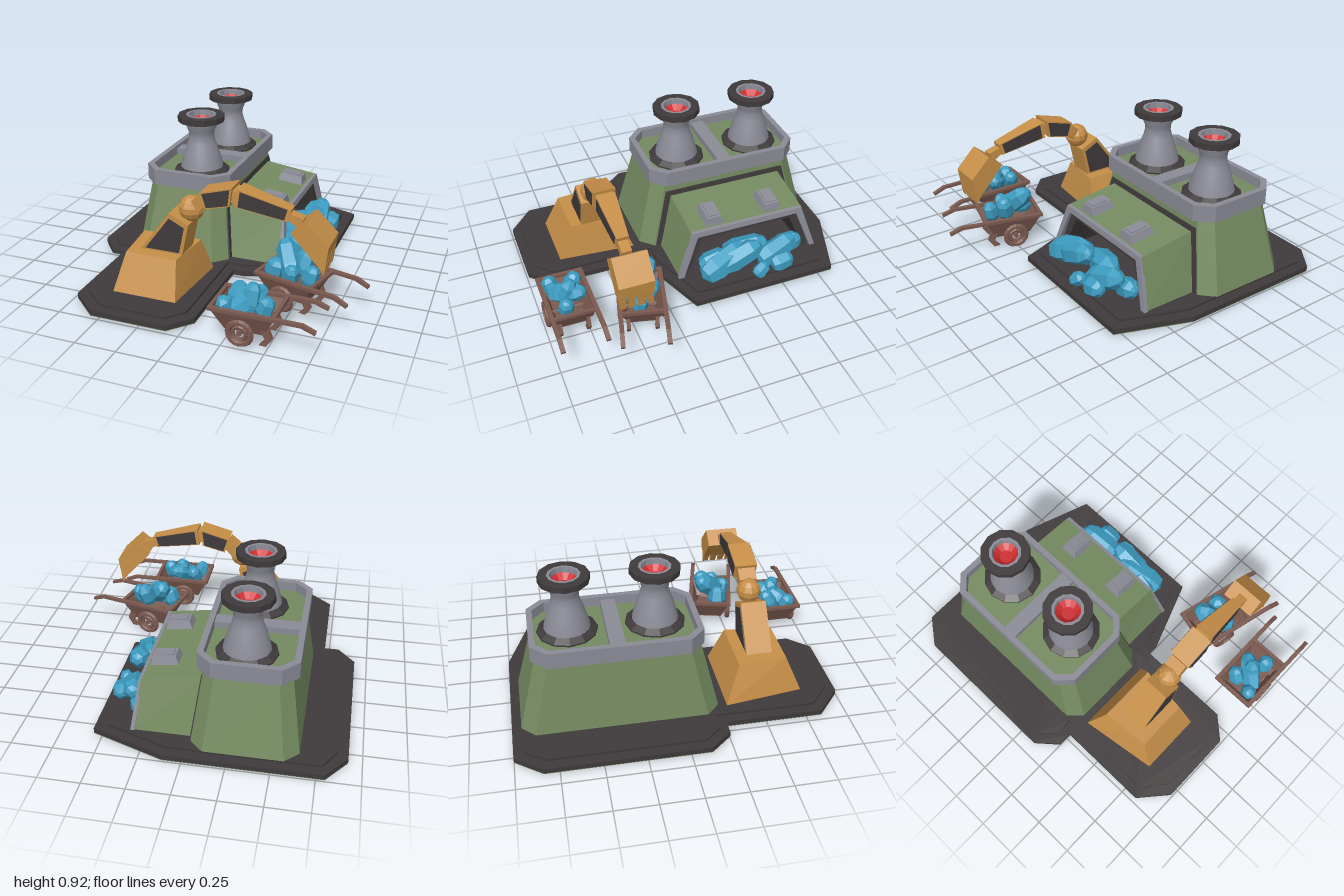
import * as THREE from 'three';
import { ConvexGeometry } from 'three/addons/geometries/ConvexGeometry.js';

const mat = (color, flatShading = true) =>
  new THREE.MeshStandardMaterial({ color, flatShading, side: THREE.DoubleSide });
const GREEN = mat(0x748a60), DARK = mat(0x3f3a3b), GREY = mat(0x8b8b97), ORANGE = mat(0xc68f48),
  BLUE = mat(0x3d9dc2), BROWN = mat(0x7b5a50), RED = mat(0xcc2c2f), SMOOTH_GREY = mat(0x8b8b97, false);

const V = (x, y, z) => new THREE.Vector3(x, y, z);
const shapeOf = pts => new THREE.Shape(pts.map(p => new THREE.Vector2(...p)));
const MID = -0.355; // centre line of the building in z

function add(parent, name, geometry, material, x = 0, y = 0, z = 0) {
  const mesh = new THREE.Mesh(geometry, material);
  mesh.name = name;
  mesh.position.set(x, y, z);
  parent.add(mesh);
  return mesh;
}

// Rectangle with cut corners, as [x, z] points
const octagon = (x0, x1, z0, z1, c) => [[x0 + c, z0], [x1 - c, z0], [x1, z0 + c], [x1, z1 - c],
  [x1 - c, z1], [x0 + c, z1], [x0, z1 - c], [x0, z0 + c]];

// Plan outline raised from y0 to y1
function slab(pts, y0, y1, hole) {
  const s = shapeOf(pts);
  if (hole) s.holes.push(new THREE.Path(hole.map(p => new THREE.Vector2(...p))));
  return new THREE.ExtrudeGeometry(s, { depth: y1 - y0, bevelEnabled: false }).rotateX(Math.PI / 2).translate(0, y1, 0);
}

// Convex solid between two plan outlines
const taper = (low, y0, high, y1) => new ConvexGeometry(
  [...low.map(([x, z]) => V(x, y0, z)), ...high.map(([x, z]) => V(x, y1, z))]);

// Side outline extruded across z
const profile = (pts, zc, width) => new THREE.ExtrudeGeometry(shapeOf(pts), { depth: width, bevelEnabled: false })
  .translate(0, 0, zc - width / 2);

// Side outline shrunk towards its centre
function inset(pts, k) {
  const cx = pts.reduce((s, p) => s + p[0], 0) / pts.length, cy = pts.reduce((s, p) => s + p[1], 0) / pts.length;
  return pts.map(([x, y]) => [cx + (x - cx) * k, cy + (y - cy) * k]);
}

// Trapezoid arch running along x; the roof falls and the mouth leans outward
function arch(top, bottom, h, t, x0, x1) {
  const s = shapeOf([[-bottom, 0.06], [-top, h], [top, h], [bottom, 0.06],
    [bottom - t, 0.06], [top - t, h - t], [t - top, h - t], [t - bottom, 0.06]]);
  const g = new THREE.ExtrudeGeometry(s, { depth: x1 - x0, bevelEnabled: false })
    .rotateY(Math.PI / 2).translate(x0, 0, MID);
  const p = g.attributes.position;
  for (let i = 0; i < p.count; i++) {
    const x = p.getX(i), y = p.getY(i), f = (x + 0.09) / 0.37;
    p.setXYZ(i, x + (0.36 - y) * 0.13 * f, y + (y - 0.06) * 0.17 * (1 - f), p.getZ(i));
  }
  g.computeVertexNormals();
  return g;
}

// Six-sided crystal lying between two points
function crystal(parent, a, b, r) {
  const from = V(...a), dir = V(...b).sub(from), l = dir.length();
  const g = new THREE.LatheGeometry([[0, 0], [r * 0.75, l * 0.08], [r, l * 0.3], [r * 0.9, l * 0.78],
    [r * 0.5, l * 0.95], [0, l]].map(p => new THREE.Vector2(...p)), 6);
  const m = add(parent, 'crystal', g, BLUE, ...a);
  m.quaternion.setFromUnitVectors(V(0, 1, 0), dir.normalize());
}

function makeBase(root) {
  const outer = [[-0.8, -1], [0.11, -1], [0.55, -0.84], [0.55, 0.09], [0.11, 0.25], [0.04, 0.25], [0.04, 0.86],
    [-0.08, 0.99], [-0.55, 0.99], [-0.72, 0.84], [-0.72, 0.25], [-0.81, 0.25], [-0.92, 0.12], [-0.92, -0.84]];
  const inner = [[-0.78, -0.94], [0.1, -0.94], [0.48, -0.8], [0.48, 0.05], [0.1, 0.19], [-0.02, 0.19], [-0.02, 0.83],
    [-0.11, 0.93], [-0.52, 0.93], [-0.66, 0.81], [-0.66, 0.19], [-0.78, 0.19], [-0.86, 0.1], [-0.86, -0.81]];
  add(root, 'baseUnderside', slab(outer, 0.01, 0.014), GREEN);
  add(root, 'baseSlab', slab(outer, 0.014, 0.045), DARK);
  add(root, 'baseStep', slab(inner, 0.045, 0.06), DARK);
}

function makeChimney(root, z) {
  const g = new THREE.Group();
  g.name = 'chimney';
  g.position.set(-0.31, 0, z);
  root.add(g);
  const lathe = (name, pts, m, n) => add(g, name, new THREE.LatheGeometry(pts.map(p => new THREE.Vector2(...p)), n), m);
  lathe('footRing', [[0.18, 0.53], [0.18, 0.55], [0.14, 0.575], [0.13, 0.53]], DARK, 12);
  lathe('stack', [[0.142, 0.55], [0.132, 0.6], [0.11, 0.68], [0.09, 0.735], [0.08, 0.775], [0.083, 0.81],
    [0.1, 0.85], [0.103, 0.885]], SMOOTH_GREY, 24);
  lathe('capRing', [[0.1, 0.878], [0.15, 0.878], [0.15, 0.915], [0.095, 0.915]], DARK, 12);
  lathe('throat', [[0.097, 0.917], [0.08, 0.917], [0.076, 0.88]], GREY, 12);
  lathe('glow', [[0.076, 0.885], [0.04, 0.855], [0, 0.855]], RED, 12);
}

function makeBuilding(root) {
  const g = new THREE.Group();
  g.name = 'furnaceBuilding';
  root.add(g);
  add(g, 'body', taper(octagon(-0.65, -0.03, -0.945, 0.235, 0.08), 0.06, octagon(-0.585, -0.09, -0.83, 0.125, 0.07), 0.51), GREEN);
  add(g, 'topRim', slab(octagon(-0.62, -0.05, -0.855, 0.145, 0.09), 0.5, 0.6, octagon(-0.585, -0.085, -0.82, 0.11, 0.075)), GREY);
  add(g, 'topFloor', slab(octagon(-0.6, -0.07, -0.83, 0.12, 0.08), 0.51, 0.54), GREEN);
  add(g, 'crossBar', new THREE.BoxGeometry(0.5, 0.04, 0.09), GREY, -0.335, 0.56, -0.36);
  for (const z of [-0.625, -0.105]) makeChimney(g, z);

  // Dark wall panel around the furnace wing
  const panel = [];
  for (const [y, hw] of [[0.062, 0.5], [0.44, 0.41]])
    for (const s of [-1, 1]) for (const d of [-0.02, 0.008])
      panel.push(V(-0.03 - 0.06 * (y - 0.06) / 0.44 + d, y, MID + s * hw));
  add(g, 'wallPanel', new ConvexGeometry(panel), DARK);
  // Inner back wall of the furnace
  add(g, 'hearthWall', taper([[-0.06, -0.7], [0, -0.7], [0, -0.01], [-0.06, -0.01]], 0.06,
    [[-0.06, -0.62], [-0.03, -0.62], [-0.03, -0.09], [-0.06, -0.09]], 0.3), GREEN);

  add(g, 'wingShell', arch(0.38, 0.47, 0.36, 0.03, -0.09, 0.28), GREEN);
  add(g, 'mouthFrame', arch(0.375, 0.478, 0.363, 0.035, 0.27, 0.292), GREY);
  add(g, 'mouthLining', arch(0.348, 0.443, 0.333, 0.045, -0.03, 0.265), DARK);
  for (const z of [-0.54, -0.145]) {
    const r = (a, b) => [[-a, -b], [a, -b], [a, b], [-a, b]];
    const vent = add(g, 'roofVent', taper(r(0.083, 0.06), 0, r(0.07, 0.045), 0.05), GREY, 0.172, 0.375, z);
    vent.rotation.z = -0.135;
    add(vent, 'ventPlate', new THREE.BoxGeometry(0.11, 0.008, 0.065), GREY, 0, 0.052, 0);
  }
  const ore = [[[0.42, 0.1, 0], [0.34, 0.22, -0.32], 0.085], [[0.4, 0.13, -0.12], [0.4, 0.25, -0.4], 0.075],
    [[0.33, 0.1, -0.02], [0.36, 0.19, -0.2], 0.08], [[0.4, 0.1, -0.39], [0.36, 0.2, -0.66], 0.075],
    [[0.46, 0.1, -0.45], [0.46, 0.13, -0.6], 0.06], [[0.3, 0.1, -0.55], [0.32, 0.14, -0.73], 0.065],
    [[0.49, 0.07, -0.33], [0.46, 0.13, -0.42], 0.045], [[0.25, 0.1, -0.2], [0.3, 0.16, -0.5], 0.08]];
  for (const o of ore) crystal(g, ...o);
}

function makeDigger(root) {
  const g = new THREE.Group();
  g.name = 'digger';
  root.add(g);
  const Z = 0.525;
  add(g, 'pedestal', taper([[-0.59, 0.285], [-0.08, 0.285], [-0.12, 0.77], [-0.52, 0.77]], 0.06,
    [[-0.5, 0.375], [-0.12, 0.375], [-0.15, 0.675], [-0.47, 0.675]], 0.285), ORANGE);
  // Arm pieces with dark panels on both sides
  const arm = (name, pts, width, k) => {
    add(g, name, profile(pts, Z, width), ORANGE);
    if (k) add(g, name + 'Panel', profile(inset(pts, k), Z, width + 0.008), DARK);
  };
  arm('lowerArm', [[-0.42, 0.27], [-0.22, 0.54], [-0.1, 0.48], [-0.145, 0.27]], 0.16, 0.78);
  add(g, 'shoulderJoint', new THREE.SphereGeometry(0.077, 10, 7), ORANGE, -0.108, 0.56, Z);
  arm('shoulderLink', [[-0.09, 0.625], [-0.03, 0.675], [0, 0.615], [-0.05, 0.56]], 0.11);
  arm('middleArm', [[-0.03, 0.69], [0.165, 0.745], [0.15, 0.632], [0, 0.595]], 0.14, 0.86);
  arm('elbow', [[0.15, 0.725], [0.2, 0.72], [0.19, 0.645], [0.15, 0.65]], 0.1);
  const fore = [[0.19, 0.737], [0.5, 0.652], [0.48, 0.578], [0.175, 0.632]];
  for (const [k, m, w] of [[1, ORANGE, 0], [0.87, DARK, 0.004]])
    add(g, m === DARK ? 'forearmPanel' : 'forearm', new ConvexGeometry(inset(fore, k).flatMap(([x, y]) => {
      const h = 0.06 - (x - 0.18) * 0.075 + w;
      return [V(x, y, Z - h), V(x, y, Z + h)];
    })), m);
  arm('wrist', [[0.48, 0.63], [0.57, 0.605], [0.55, 0.54], [0.48, 0.585]], 0.06);
  // Bucket and its teeth
  arm('bucket', [[0.61, 0.62], [0.735, 0.495], [0.725, 0.42], [0.66, 0.39], [0.52, 0.545]], 0.21);
  for (let i = 0; i < 4; i++)
    add(g, 'bucketTooth', profile([[0.66, 0.395], [0.728, 0.43], [0.712, 0.32]], Z - 0.081 + i * 0.054, 0.038), ORANGE);
}

function makeCart(root, x, z, turn, load) {
  const g = new THREE.Group();
  g.name = 'cart';
  g.position.set(x, 0, z);
  g.rotation.y = turn;
  root.add(g);
  const tub = new THREE.CylinderGeometry(Math.SQRT1_2, Math.SQRT1_2 * 0.62, 0.14, 4, 1, true).rotateY(Math.PI / 4).scale(0.37, 1, 0.27);
  add(g, 'tub', tub, BROWN, 0, 0.14, 0);
  add(g, 'tubFloor', new THREE.BoxGeometry(0.23, 0.012, 0.165), BROWN, 0, 0.074, 0);
  for (const s of [-1, 1]) {
    add(g, 'endRim', new THREE.BoxGeometry(0.022, 0.02, 0.28), BROWN, s * 0.18, 0.206, 0);
    add(g, 'handle', profile([[-0.19, 0.197], [-0.19, 0.216], [0.34, 0.216], [0.415, 0.185], [0.41, 0.168], [0.33, 0.197]],
      s * 0.131, 0.026), BROWN);
    add(g, 'leg', profile([[0.1, 0.1], [0.135, 0.14], [0.165, 0.06], [0.13, 0.01], [0.09, 0.012], [0.125, 0.05]], s * 0.085, 0.022), BROWN);
    add(g, 'wheel', new THREE.TorusGeometry(0.065, 0.018, 6, 16), BROWN, -0.01, 0.083, s * 0.128);
    add(g, 'hub', new THREE.TorusGeometry(0.038, 0.012, 5, 12), BROWN, -0.01, 0.083, s * 0.128);
  }
  add(g, 'axle', new THREE.CylinderGeometry(0.016, 0.016, 0.27, 8).rotateX(Math.PI / 2), BROWN, -0.01, 0.083, 0);
  for (const c of load) crystal(g, ...c);
}

export function createModel() {
  const root = new THREE.Group();
  root.name = 'miningStation';
  makeBase(root);
  makeBuilding(root);
  makeDigger(root);
  makeCart(root, 0.36, 0.845, 0, [[[-0.08, 0.17, 0.09], [0.07, 0.26, -0.1], 0.06], [[-0.1, 0.17, -0.02], [-0.07, 0.28, -0.09], 0.05],
    [[-0.09, 0.15, 0.05], [-0.13, 0.26, 0.09], 0.05], [[0.08, 0.15, 0.03], [0.13, 0.27, 0.03], 0.05],
    [[0, 0.15, 0.02], [0.02, 0.32, -0.03], 0.055]]);
  makeCart(root, 0.49, 0.43, -0.25, [[[0.03, 0.19, 0.06], [-0.12, 0.36, -0.08], 0.07], [[-0.12, 0.16, 0.05], [-0.08, 0.29, 0.05], 0.06],
    [[0.02, 0.18, -0.02], [0.05, 0.33, -0.08], 0.06], [[0.1, 0.15, 0.02], [0.13, 0.28, 0], 0.05],
    [[0, 0.15, 0.06], [0.04, 0.29, 0.09], 0.05]]);
  return root;
}
